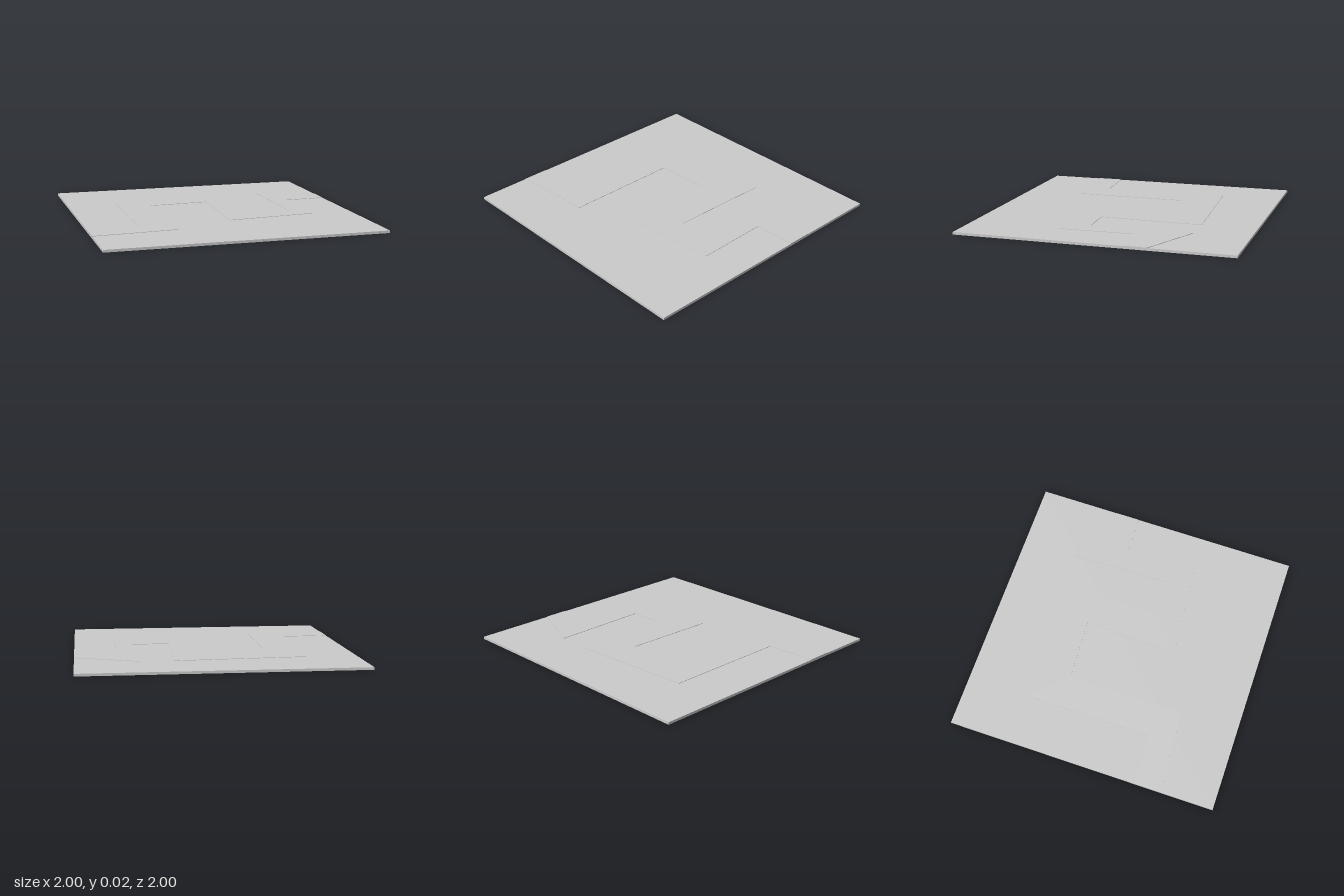
import * as THREE from 'three';

const BASE_HEIGHT = 0.018;
const PATH_HEIGHT = 0.003;

// Outline corners [x, z] of the winding path: one long edge, then the other
const nearEdge = [
  [-1, 0.61], [-0.39, 0.57], [-0.39, -0.29], [0.06, -0.315],
  [0.04, 0.38], [0.7, 0.32], [0.69, -0.21], [1, -0.225],
];
const farEdge = [
  [1, -0.4], [0.55, -0.595], [0.565, 0.145], [0.29, 0.155],
  [0.31, -0.6], [-0.63, -0.545], [-0.63, 0.4], [-1, 0.42],
];

export function createModel() {
  const group = new THREE.Group();
  group.name = 'groundTile';
  const material = new THREE.MeshStandardMaterial({ color: 0xcccccc, flatShading: true });

  // Square slab
  const base = new THREE.Mesh(new THREE.BoxGeometry(2, BASE_HEIGHT, 2), material);
  base.name = 'baseSlab';
  base.position.y = BASE_HEIGHT / 2;
  group.add(base);

  // Slightly raised path running from the left edge to the right edge
  const outline = [...nearEdge, ...farEdge].map(([x, z]) => new THREE.Vector2(x, -z));
  const geometry = new THREE.ExtrudeGeometry(new THREE.Shape(outline), {
    depth: PATH_HEIGHT, bevelEnabled: false,
  });
  geometry.rotateX(-Math.PI / 2);
  const path = new THREE.Mesh(geometry, material);
  path.name = 'raisedPath';
  path.position.y = BASE_HEIGHT;
  group.add(path);

  return group;
}
